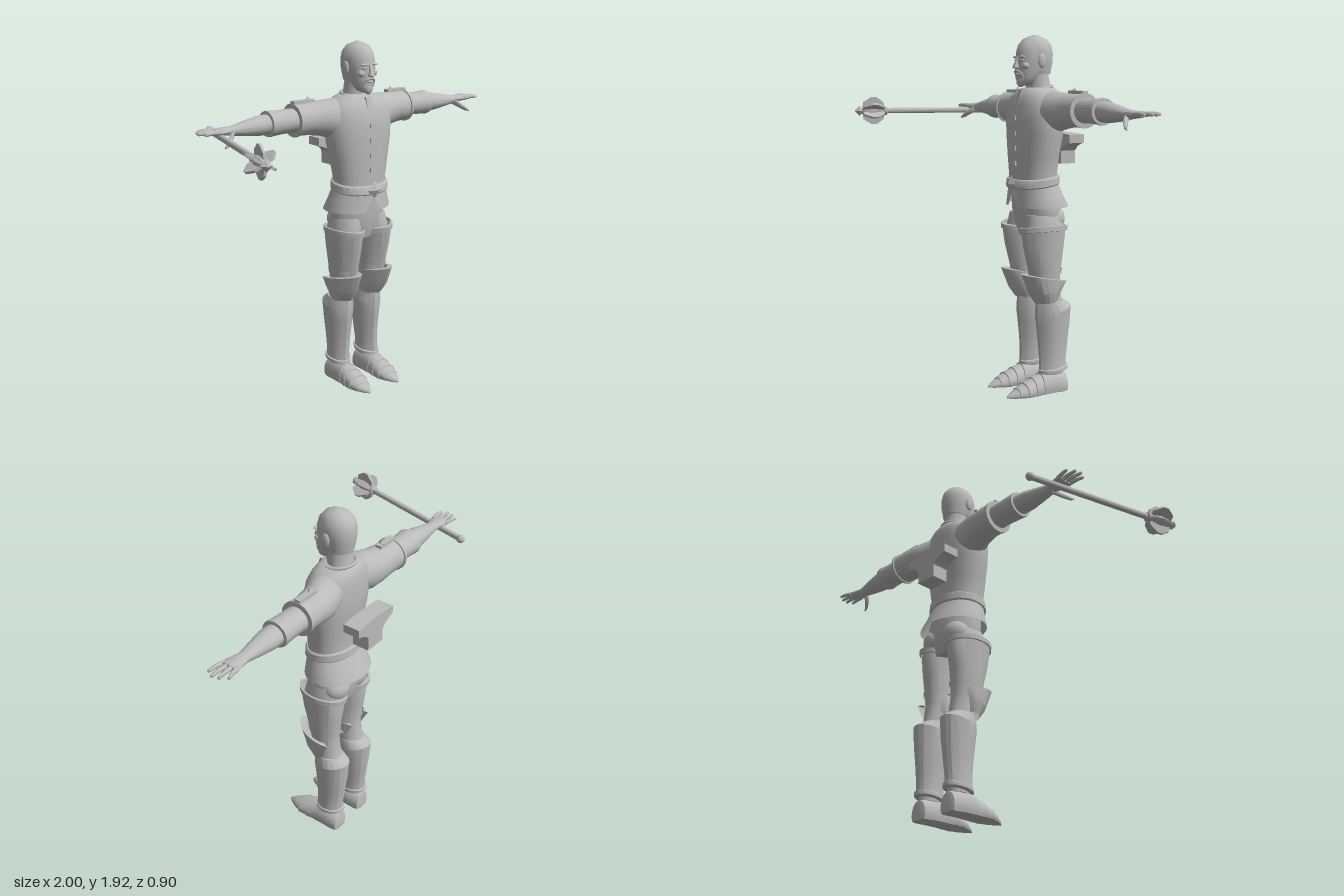
import * as THREE from 'three';
import { toCreasedNormals } from 'three/addons/utils/BufferGeometryUtils.js';

const grey = new THREE.MeshStandardMaterial({ color: 0xbababa, side: THREE.DoubleSide });
grey.name = 'plain grey';

// Skin rings [t, cu, cv, ru, rv] along an axis: y -> (u,v)=(x,z), x -> (z,y), z -> (y,x)
function loft(axis, rings, { n = 28, pow = 2, arc = null, fn = null, crease = 0.7 } = {}) {
  const pos = [], idx = [], put = (t, u, v) =>
    axis === 'y' ? [u, t, v] : axis === 'x' ? [t, v, u] : [v, u, t];
  const [a0, a1] = arc || [0, Math.PI * 2];
  const sp = c => Math.sign(c) * Math.abs(c) ** (2 / pow);
  rings.forEach(([t, cu, cv, ru, rv], j) => {
    for (let i = 0; i <= n; i++) {
      const a = a0 + (a1 - a0) * i / n;
      const p = new THREE.Vector3(...put(t, cu + ru * sp(Math.cos(a)), cv + rv * sp(Math.sin(a))));
      if (fn) fn(p, a, j);
      pos.push(p.x, p.y, p.z);
    }
  });
  const w = n + 1;
  for (let j = 0; j < rings.length - 1; j++) for (let i = 0; i < n; i++) {
    const a = j * w + i, b = a + 1, c = a + w, d = c + 1;
    idx.push(a, c, b, b, c, d);
  }
  // Closed lofts get end caps, lofts with an arc stay open
  if (!arc) [0, rings.length - 1].forEach((j, end) => {
    const c = pos.length / 3;
    pos.push(...put(rings[j][0], rings[j][1], rings[j][2]));
    for (let i = 0; i < n; i++) {
      const a = j * w + i;
      if (end) idx.push(c, a + 1, a);
      else idx.push(c, a, a + 1);
    }
  });
  const g = new THREE.BufferGeometry();
  g.setAttribute('position', new THREE.Float32BufferAttribute(pos, 3));
  g.setIndex(idx);
  return toCreasedNormals(g, crease);
}

function add(parent, name, geo) {
  const m = new THREE.Mesh(geo, grey);
  m.name = name;
  parent.add(m);
  return m;
}

// Mirror a geometry in x, keeping its faces outward
function mirrored(geo) {
  const g = geo.index ? geo.toNonIndexed() : geo.clone();
  for (const key of ['position', 'normal']) {
    const at = g.attributes[key];
    for (let i = 0; i < at.count; i += 3) {
      const v = [0, 2, 1].map(k => [-at.getX(i + k), at.getY(i + k), at.getZ(i + k)]);
      v.forEach((q, k) => at.setXYZ(i + k, ...q));
    }
  }
  return g;
}
function pair(parent, name, geo) {
  add(parent, name + 'Left', geo);
  add(parent, name + 'Right', mirrored(geo));
}
const ball = (x, y, z, rx, ry, rz) => new THREE.SphereGeometry(1, 20, 14).scale(rx, ry, rz).translate(x, y, z);
const box = (x, y, z, w, h, d) => new THREE.BoxGeometry(w, h, d).translate(x, y, z);
const front = (a, width) => Math.max(0, 1 - Math.abs(a - Math.PI / 2) / width);
const tube = (pts, r) => new THREE.TubeGeometry(
  new THREE.CatmullRomCurve3(pts.map(p => new THREE.Vector3(...p))), 16, r, 8);
const ring = [0, Math.PI * 2];

function buildHead(body) {
  const g = new THREE.Group();
  g.name = 'head';
  body.add(g);
  add(g, 'neck', loft('y', [[1.58, 0, -.22, .085, .08], [1.64, 0, -.21, .068, .066],
    [1.71, 0, -.2, .064, .062], [1.78, 0, -.2, .062, .07]]));
  add(g, 'face', loft('y', [[1.66, 0, -.128, .022, .026], [1.672, 0, -.132, .042, .046],
    [1.70, 0, -.147, .058, .066], [1.74, 0, -.165, .069, .086], [1.78, 0, -.178, .076, .1],
    [1.83, 0, -.182, .08, .1], [1.87, 0, -.183, .072, .09], [1.9, 0, -.184, .052, .064],
    [1.914, 0, -.185, .03, .036], [1.92, 0, -.185, .005, .006]], { crease: 1.2 }));
  // Cropped hair, set back from the forehead
  add(g, 'hair', loft('y', [[1.72, 0, -.205, .066, .068], [1.78, 0, -.2, .079, .084], [1.83, 0, -.194, .084, .092],
    [1.87, 0, -.189, .076, .089], [1.902, 0, -.187, .054, .066], [1.922, 0, -.186, .012, .014]], { crease: 1.2 }));
  add(g, 'nose', loft('y', [[1.746, 0, -.082, .013, .012], [1.752, 0, -.073, .018, .02],
    [1.764, 0, -.073, .013, .017], [1.785, 0, -.079, .009, .012], [1.81, 0, -.085, .01, .008]], { n: 14, crease: 1.2 }));
  pair(g, 'brow', ball(.03, 1.808, -.09, .026, .007, .013));
  pair(g, 'eye', ball(.03, 1.791, -.093, .013, .007, .01));
  pair(g, 'cheek', ball(.04, 1.762, -.108, .022, .02, .022));
  pair(g, 'moustache', tube([[0, 1.737, -.072], [.018, 1.733, -.078], [.031, 1.715, -.092], [.029, 1.69, -.096]], .0065));
  add(g, 'lips', ball(0, 1.719, -.081, .019, .007, .009));
  add(g, 'beard', loft('y', [[1.652, 0, -.1, .008, .009], [1.668, 0, -.106, .026, .025],
    [1.69, 0, -.108, .033, .028], [1.706, 0, -.102, .018, .02]], { n: 16 }));
  pair(g, 'ear', ball(.086, 1.788, -.18, .011, .038, .023));
}

function buildTorso(body) {
  const g = new THREE.Group();
  g.name = 'torso';
  body.add(g);
  add(g, 'shirt', loft('y', [[1.12, 0, -.18, .155, .112], [1.2, 0, -.178, .156, .112], [1.3, 0, -.18, .174, .117],
    [1.4, 0, -.186, .194, .124], [1.48, 0, -.188, .2, .127], [1.56, 0, -.192, .192, .12],
    [1.6, 0, -.198, .172, .11], [1.628, 0, -.203, .14, .098], [1.645, 0, -.207, .095, .083],
    [1.65, 0, -.208, .07, .066]], { pow: 2.2, crease: 1.2 }));
  add(g, 'collar', new THREE.TorusGeometry(.082, .009, 10, 32).rotateX(Math.PI / 2 + .15).translate(0, 1.644, -.2));
  const flap = add(g, 'collarFlap', box(0, 0, 0, .036, .075, .012));
  flap.position.set(0, 1.6, -.092);
  flap.rotation.x = -.3;
  for (const y of [1.49, 1.41, 1.33, 1.25])
    add(g, 'buttonTab', box(0, y, -.064, .036, .024, .014));
  // Belt sits lower at the front
  add(g, 'belt', loft('y', [[1.13, 0, -.178, .163, .125], [1.137, 0, -.178, .169, .131],
    [1.173, 0, -.178, .167, .129], [1.18, 0, -.178, .16, .122]], { pow: 2.1, fn: p => { p.y -= (p.z + .18) * .13; } }));
  add(g, 'buckle', new THREE.OctahedronGeometry(1).scale(.05, .048, .022).translate(0, 1.142, -.046));
  // Flared tunic skirt with a split at the front
  add(g, 'tunicSkirt', loft('y', [[1.02, 0, -.205, .195, .152], [1.028, 0, -.204, .194, .15], [1.08, 0, -.193, .177, .135],
    [1.15, 0, -.18, .158, .118]], {
    n: 72, arc: ring, pow: 2.1,
    fn: (p, a, j) => { p.y += front(a, .24) * [.085, .08, .035, 0][j]; }
  }));
  add(g, 'hips', loft('y', [[.86, 0, -.2, .1, .09], [.91, 0, -.2, .155, .106], [1.0, 0, -.2, .165, .115],
    [1.12, 0, -.185, .155, .108]], { crease: 1.2 }));
  pair(g, 'buttock', ball(.075, .955, -.25, .08, .075, .07));
  // T-shaped holder behind the back
  const s = new THREE.Shape();
  s.moveTo(-.06, 1.24);
  s.lineTo(.06, 1.24);
  s.lineTo(.06, 1.31);
  s.quadraticCurveTo(.085, 1.345, .142, 1.355);
  s.lineTo(.142, 1.4);
  s.quadraticCurveTo(0, 1.412, -.142, 1.4);
  s.lineTo(-.142, 1.355);
  s.quadraticCurveTo(-.085, 1.345, -.06, 1.31);
  add(g, 'backHolder', new THREE.ExtrudeGeometry(s, { depth: .092, bevelEnabled: false }).translate(-.015, 0, -.42));
}

function buildArms(body) {
  const g = new THREE.Group();
  g.name = 'arms';
  body.add(g);
  pair(g, 'shortSleeve', loft('x', [[.07, -.205, 1.54, .085, .095], [.17, -.22, 1.525, .1, .105], [.22, -.238, 1.53, .092, .094],
    [.3, -.247, 1.535, .084, .085], [.37, -.25, 1.535, .083, .082], [.371, -.25, 1.535, .09, .088],
    [.385, -.25, 1.535, .09, .088], [.386, -.25, 1.535, .072, .07]]));
  pair(g, 'shoulderStrap', box(.318, 1.627, -.25, .128, .016, .034));
  pair(g, 'strapStud', new THREE.OctahedronGeometry(.016).translate(.285, 1.636, -.25));
  pair(g, 'underSleeve', loft('x', [[.36, -.25, 1.535, .068, .064], [.42, -.25, 1.537, .067, .062], [.5, -.25, 1.536, .07, .064],
    [.535, -.25, 1.536, .073, .068], [.545, -.25, 1.536, .071, .066], [.546, -.25, 1.536, .055, .052]]));
  pair(g, 'forearm', loft('x', [[.53, -.25, 1.535, .056, .052], [.6, -.25, 1.533, .056, .05], [.68, -.25, 1.53, .043, .038],
    [.74, -.25, 1.528, .033, .027], [.765, -.25, 1.528, .032, .023]], { crease: 1.2 }));
  pair(g, 'palm', loft('x', [[.74, -.25, 1.528, .03, .024], [.78, -.25, 1.53, .038, .021], [.825, -.25, 1.532, .047, .017],
    [.852, -.25, 1.534, .046, .012]], { crease: 1.2 }));
  // Four spread fingers, little finger at the back, then the thumb
  [[-.288, .913, -.306], [-.263, .94, -.272], [-.238, .948, -.239], [-.213, .93, -.205]].forEach(([z, x, tipZ], i) =>
    pair(g, 'finger' + (i + 1), loft('x', [[.83, z, 1.532, .011, .012], [(x + .83) / 2, (z + tipZ) / 2, 1.537, .0105, .0105],
      [x - .008, tipZ, 1.534, .008, .008], [x, tipZ, 1.533, .003, .003]], { n: 10, crease: 1.2 })));
  pair(g, 'thumb', loft('x', [[.755, -.232, 1.52, .018, .018], [.785, -.203, 1.497, .015, .016], [.815, -.182, 1.475, .011, .012],
    [.836, -.174, 1.463, .004, .005]], { n: 10, crease: 1.2 }));
}

function buildLegs(body) {
  const g = new THREE.Group();
  g.name = 'legs';
  body.add(g);
  pair(g, 'leg', loft('y', [[.1, .105, -.25, .045, .06], [.4, .1, -.245, .062, .08], [.52, .096, -.222, .063, .073],
    [.62, .096, -.205, .067, .076], [.75, .1, -.196, .078, .1], [.88, .098, -.195, .088, .118],
    [.98, .085, -.195, .075, .1]], { crease: 1.2 }));
  // Thigh plate wraps the front and sides, with a front ridge
  const ridge = (p, a) => { p.z += front(a, .6) * .012; };
  pair(g, 'thighPlate', loft('y', [[.6, .094, -.205, .073, .08], [.7, .098, -.198, .079, .095], [.8, .1, -.193, .087, .115],
    [.9, .1, -.19, .094, .128]], { n: 16, arc: [-.75, Math.PI + .75], fn: ridge, crease: .3 }));
  pair(g, 'thighRim', loft('y', [[.888, .1, -.19, .094, .128], [.89, .1, -.19, .1, .135], [.915, .1, -.19, .1, .137],
    [.917, .1, -.19, .09, .12]], { n: 20, arc: ring, fn: (p, a) => { ridge(p, a); p.y += (p.x - .1) * .12; } }));
  pair(g, 'thighStrap', loft('y', [[.66, .097, -.2, .078, .092], [.685, .098, -.199, .08, .095]], { arc: ring }));
  // Knee guard juts forward at the top
  pair(g, 'kneeGuard', loft('y', [[.5, .105, -.2, .07, .055], [.56, .108, -.2, .088, .095], [.655, .11, -.2, .09, .142],
    [.657, .11, -.2, .076, .1]], {
    n: 14, arc: [-.6, Math.PI + .6], crease: .3,
    fn: (p, a, j) => { ridge(p, a); p.y += (j < 2 ? -.12 : .18) * (p.z + .12); }
  }));
  // Greave, with a flared top edge
  pair(g, 'greave', loft('y', [[.13, .105, -.25, .058, .077], [.18, .104, -.25, .056, .075], [.27, .101, -.252, .062, .083],
    [.37, .1, -.252, .073, .094], [.455, .1, -.252, .081, .101], [.51, .098, -.232, .067, .077]],
    { n: 18, fn: (p, a, j) => { ridge(p, a); if (j === 4) p.y -= (p.z + .25) * .25; }, crease: .35 }));
  pair(g, 'ankleRim', loft('y', [[.112, .105, -.25, .055, .074], [.118, .105, -.25, .064, .085], [.134, .105, -.25, .064, .085],
    [.14, .105, -.25, .056, .075]], { fn: p => { p.y -= (p.z + .25) * .12; } }));
  // Pointed boot with overlapping plates: [z, height, half width]
  const steps = [[-.325, .07, .035], [-.318, .1, .05], [-.28, .115, .058], [-.22, .122, .058], [-.165, .112, .06],
    [-.164, .104, .057], [-.115, .092, .066], [-.114, .085, .062], [-.065, .07, .064], [-.064, .063, .06],
    [-.022, .047, .046], [-.021, .041, .043], [.015, .024, .024], [.038, .012, .004]];
  pair(g, 'boot', loft('z', steps.map(([z, h, w]) => [z, h * .32, .105, h * .68, w]),
    { fn: p => { p.y = Math.max(0, p.y); }, crease: .5 }));
  pair(g, 'heel', loft('y', [[0, .105, -.282, .05, .045], [.025, .105, -.282, .053, .046]], { pow: 3 }));
}

function buildMace(root) {
  const g = new THREE.Group();
  g.name = 'mace';
  g.position.set(-.72, 1.507, -.435);
  g.lookAt(-.95, 1.507, .44);
  root.add(g);
  const turn = pts => toCreasedNormals(
    new THREE.LatheGeometry(pts.map(p => new THREE.Vector2(...p)), 18).rotateX(Math.PI / 2), .5);
  add(g, 'shaft', turn([[0, 0], [.016, .005], [.016, .86], [0, .865]]));
  add(g, 'pommel', ball(0, 0, .012, .022, .022, .022));
  add(g, 'headCore', turn([[.016, .72], [.026, .725], [.026, .74], [.022, .75], [.032, .8], [.026, .86], [.012, .88], [0, .882]]));
  add(g, 'tip', new THREE.OctahedronGeometry(.03).translate(0, 0, .886));
  const blade = new THREE.Shape([[.015, .735], [.05, .745], [.08, .785], [.08, .815], [.052, .862], [.015, .868]]
    .map(p => new THREE.Vector2(...p)));
  const flange = new THREE.ExtrudeGeometry(blade, { depth: .012, bevelEnabled: false }).translate(0, 0, -.006).rotateX(Math.PI / 2);
  for (let i = 0; i < 6; i++) add(g, 'flange', flange).rotation.z = i * Math.PI / 3 + Math.PI / 6;
}

export function createModel() {
  const root = new THREE.Group();
  root.name = 'armouredMan';
  const body = new THREE.Group();
  body.name = 'body';
  body.position.x = .05;
  root.add(body);
  buildHead(body);
  buildTorso(body);
  buildArms(body);
  buildLegs(body);
  buildMace(root);
  return root;
}
